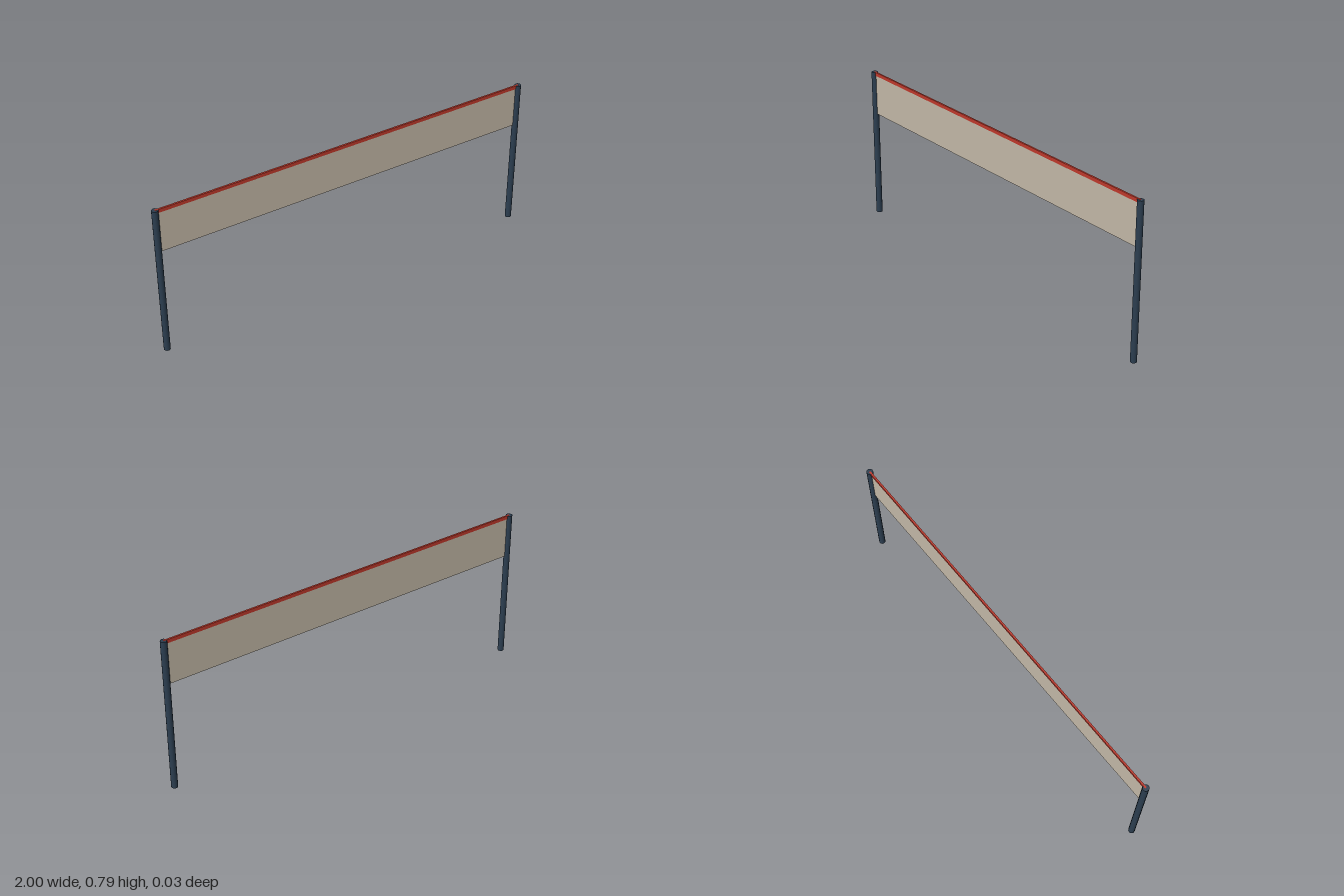
import * as THREE from 'three';

export function createModel() {
  const model = new THREE.Group();
  const material = (name, color) => {
    const m = new THREE.MeshStandardMaterial({ color });
    m.name = name;
    return m;
  };
  const postBlue = material('post blue', 0x2c3e50);
  const netBeige = material('net beige', 0xc4b9a8);
  const tapeRed = material('tape red', 0xc0392b);

  const add = (name, geometry, mat, x, y) => {
    const mesh = new THREE.Mesh(geometry, mat);
    mesh.name = name;
    mesh.position.set(x, y, 0);
    model.add(mesh);
  };

  const radius = 0.016, height = 0.787, postX = 1 - radius;

  // Two round posts
  const post = new THREE.CylinderGeometry(radius, radius, height, 12);
  add('leftPost', post, postBlue, postX, height / 2);
  add('rightPost', post, postBlue, -postX, height / 2);

  // Thin net panel stretched between the post centres
  const bottom = 0.56, tapeBottom = 0.77, tapeTop = 0.788;
  add('net', new THREE.BoxGeometry(postX * 2, tapeBottom - bottom, 0.004),
    netBeige, 0, (bottom + tapeBottom) / 2);

  // Tape along the top edge, slightly thicker than the net
  add('topTape', new THREE.BoxGeometry(postX * 2, tapeTop - tapeBottom, 0.009),
    tapeRed, 0, (tapeBottom + tapeTop) / 2);

  return model;
}
